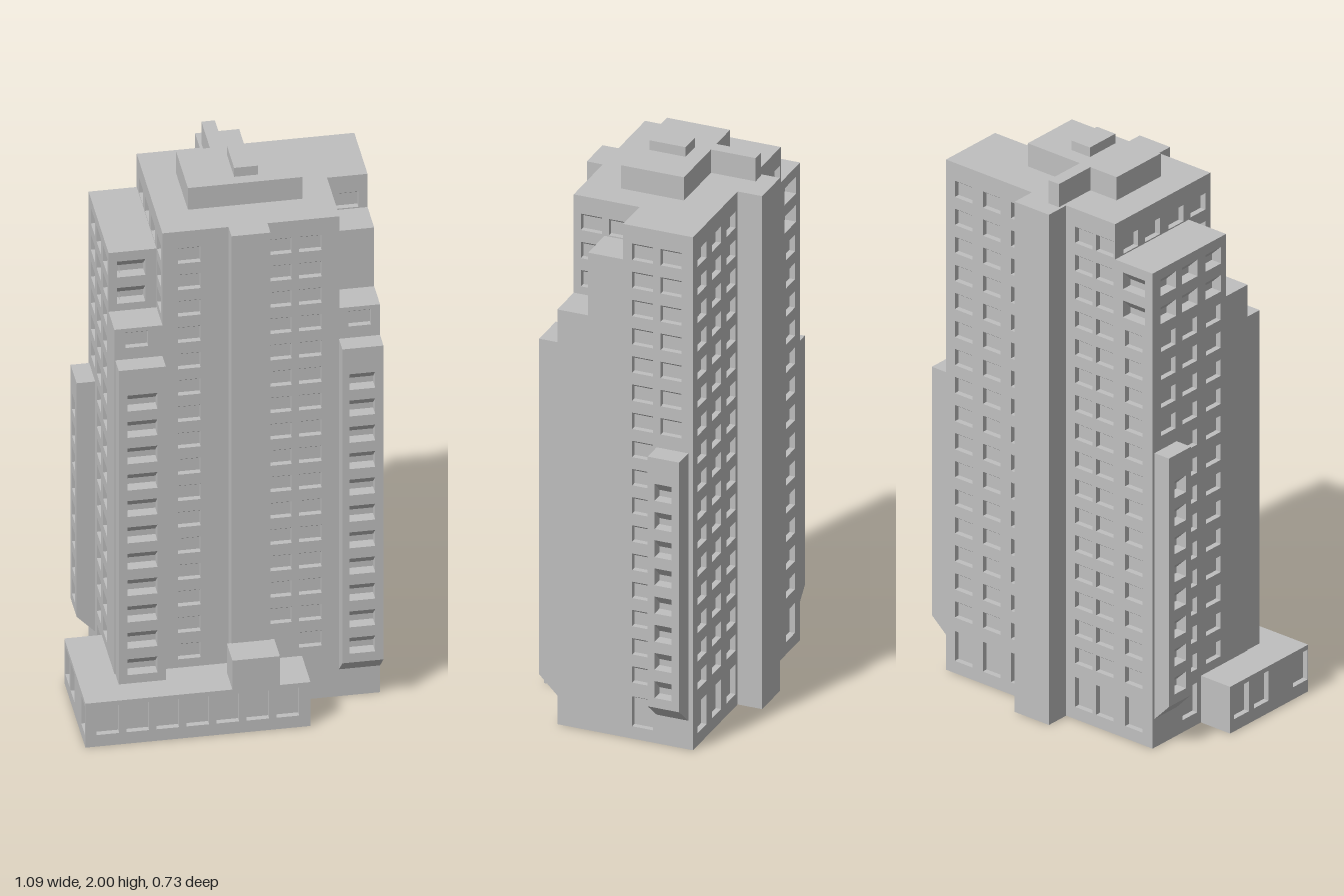
import * as THREE from 'three';
import { mergeGeometries } from 'three/addons/utils/BufferGeometryUtils.js';

const concrete = new THREE.MeshStandardMaterial({ color: 0xbfbfbf });
concrete.name = 'concrete grey';

const FLOOR = 0.1033;   // storey height
const FIRST = 0.205;    // sill of the first upper storey

// Window kinds: width, height, depth of recess, drop of the sloping lintel
const PLAIN = { w: 0.075, h: 0.06, d: 0.02, drop: 0.014 };
const DEEP = { w: 0.095, h: 0.062, d: 0.04, drop: 0.04 };
const NARROW = { w: 0.06, h: 0.062, d: 0.04, drop: 0.04 };
const TALL = { w: 0.075, h: 0.11, d: 0.02, drop: 0.012 };

// A column of windows centred at c, from storey a to storey b
const column = (c, a, b, kind = PLAIN) =>
  Array.from({ length: b - a + 1 }, (_, i) => ({ c, y: FIRST + FLOOR * (a + i), kind }));
// Tall ground floor windows
const ground = (...centres) => centres.map((c) => ({ c, y: 0.045, kind: TALL }));

// Upright wall in the plane z = w, with recessed windows
function wall(u0, u1, y0, y1, w, windows, sign) {
  const shape = new THREE.Shape([[u0, y0], [u1, y0], [u1, y1], [u0, y1]].map((p) => new THREE.Vector2(...p)));
  const pos = [];
  const quad = (a, b, c, d) => [a, b, c, a, c, d].forEach((p) => pos.push(...p));
  for (const { c, y, kind } of windows) {
    const l = sign * c - kind.w / 2, r = l + kind.w, t = y + kind.h;
    shape.holes.push(new THREE.Path([[l, y], [l, t], [r, t], [r, y]].map((p) => new THREE.Vector2(...p))));
    const outer = [[l, y, w], [r, y, w], [r, t, w], [l, t, w]];
    const zi = w - kind.d, ti = t - kind.drop;
    const inner = [[l, y, zi], [r, y, zi], [r, ti, zi], [l, ti, zi]];
    quad(...inner);
    for (let i = 0; i < 4; i++) {
      const j = (i + 1) % 4;
      quad(outer[i], outer[j], inner[j], inner[i]);
    }
  }
  const face = new THREE.ShapeGeometry(shape).toNonIndexed();
  face.translate(0, 0, w);
  pos.unshift(...face.attributes.position.array);
  const g = new THREE.BufferGeometry();
  g.setAttribute('position', new THREE.Float32BufferAttribute(pos, 3));
  return g;
}

// Rectangular block from four walls, a roof and a floor
function block(name, [x0, x1], [y0, y1], [z0, z1], win = {}) {
  const { front = [], east = [], back = [], west = [] } = win;
  const parts = [
    wall(x0, x1, y0, y1, z1, front, 1),
    wall(-z1, -z0, y0, y1, x1, east, -1).rotateY(Math.PI / 2),
    wall(-x1, -x0, y0, y1, -z0, back, -1).rotateY(Math.PI),
    wall(z0, z1, y0, y1, -x0, west, 1).rotateY(-Math.PI / 2),
    wall(x0, x1, -z1, -z0, y1, [], 1).rotateX(-Math.PI / 2),
    wall(x0, x1, z0, z1, -y0, [], 1).rotateX(Math.PI / 2),
  ];
  const g = mergeGeometries(parts);
  g.computeVertexNormals();
  const mesh = new THREE.Mesh(g, concrete);
  mesh.name = name;
  return mesh;
}

// Sloping underside of a bay: triangular prism, reaching out along +x
function corbel(name, reach, width, x, z, turn) {
  const tri = new THREE.Shape([new THREE.Vector2(0, 0.105), new THREE.Vector2(reach, 0.17), new THREE.Vector2(0, 0.17)]);
  const g = new THREE.ExtrudeGeometry(tri, { depth: width, bevelEnabled: false });
  g.translate(0, 0, -width / 2);
  const mesh = new THREE.Mesh(g, concrete);
  mesh.name = name;
  mesh.position.set(x, 0, z);
  mesh.rotation.y = turn;
  return mesh;
}

export function createModel() {
  const model = new THREE.Group();
  model.name = 'towerBlock';

  model.add(
    // Central tower
    block('mainTower', [-0.26, 0.33], [0, 1.88], [-0.28, 0.205], {
      front: [...column(-0.17, 0, 15), ...column(0.133, 1, 15), ...column(0.233, 0, 15)],
      back: [0.15, 0.27, -0.125, -0.215].flatMap((x) => [...column(x, 0, 15), ...ground(x)]),
      east: [...column(0.142, 13, 15), ...column(0.042, 15, 15)],
      west: [...column(0.142, 13, 15), ...[-0.2, -0.09, 0.03].flatMap((z) => column(z, 15, 15))],
    }),
    block('frontShaft', [-0.04, 0.09], [0, 1.88], [0.205, 0.262]),
    block('rearShaft', [-0.05, 0.097], [0, 1.88], [-0.368, -0.28]),

    // Left wing, stepping down towards the front
    block('leftWingRear', [0.33, 0.465], [0, 1.88], [-0.28, -0.03], {
      front: column(0.397, 15, 15),
      east: [...column(-0.1, 0, 15), ...column(-0.202, 9, 15), ...ground(-0.1)],
      back: [...column(0.39, 0, 15), ...ground(0.39)],
    }),
    block('leftWingMiddle', [0.33, 0.465], [0, 1.75], [-0.03, 0.095]),
    block('leftWingFront', [0.33, 0.465], [0, 1.52], [0.095, 0.205], { front: column(0.397, 12, 12) }),

    // Right wing
    block('rightWingRear', [-0.42, -0.26], [0, 1.75], [-0.28, 0.095], {
      front: column(-0.345, 13, 14, DEEP),
      back: [...column(-0.34, 0, 12), ...column(-0.34, 13, 14, DEEP), ...ground(-0.34)],
      west: [
        ...column(-0.2, 9, 12), ...column(-0.09, 0, 12), ...column(0.03, 0, 12),
        ...[-0.2, -0.09, 0.03].flatMap((z) => column(z, 13, 14, { ...DEEP, w: 0.08 })),
        ...ground(-0.09),
      ],
    }),
    block('rightWingFront', [-0.42, -0.26], [0, 1.52], [0.095, 0.205], { front: column(-0.345, 12, 12) }),

    // Projecting bays
    block('frontBayLeft', [0.328, 0.465], [0.17, 1.4], [0.205, 0.27], { front: column(0.395, 0, 10, { ...DEEP, w: 0.085 }) }),
    corbel('frontBayCorbel', 0.065, 0.137, 0.3965, 0.205, -Math.PI / 2),
    block('frontBayRight', [-0.417, -0.26], [0.17, 1.4], [0.205, 0.27], { front: column(-0.338, 0, 10, { ...DEEP, w: 0.1 }) }),
    block('sideBayLeft', [0.465, 0.54], [0.17, 1.085], [-0.263, -0.15], { east: column(-0.205, 0, 7, NARROW) }),
    corbel('sideBayLeftCorbel', 0.075, 0.113, 0.465, -0.2065, 0),
    block('sideBayRight', [-0.482, -0.42], [0.17, 1.085], [-0.27, -0.157], { west: column(-0.213, 0, 7, NARROW) }),
    corbel('sideBayRightCorbel', 0.062, 0.113, -0.42, -0.2135, Math.PI),

    // Low podium wrapping the front right corner
    block('podiumFront', [-0.545, 0.205], [0, 0.172], [0.205, 0.365], {
      front: ground(-0.47, -0.37, -0.27, -0.17, -0.07, 0.03, 0.13),
      east: ground(0.29),
      west: ground(0.25, 0.325 - 0.0).slice(1),
    }),
    block('podiumSide', [-0.545, -0.42], [0, 0.172], [-0.033, 0.205], { west: ground(0.025, 0.125) }),
    block('entranceBlock', [-0.055, 0.103], [0.172, 0.285], [0.26, 0.365]),

    // Roof structures
    block('penthouse', [-0.153, 0.228], [1.88, 1.965], [-0.145, 0.08]),
    block('roofDuct', [-0.04, 0.005], [1.88, 1.965], [-0.305, -0.145]),
    block('roofCap', [0.008, 0.087], [1.965, 2.0], [-0.09, 0.04]),
  );
  return model;
}
